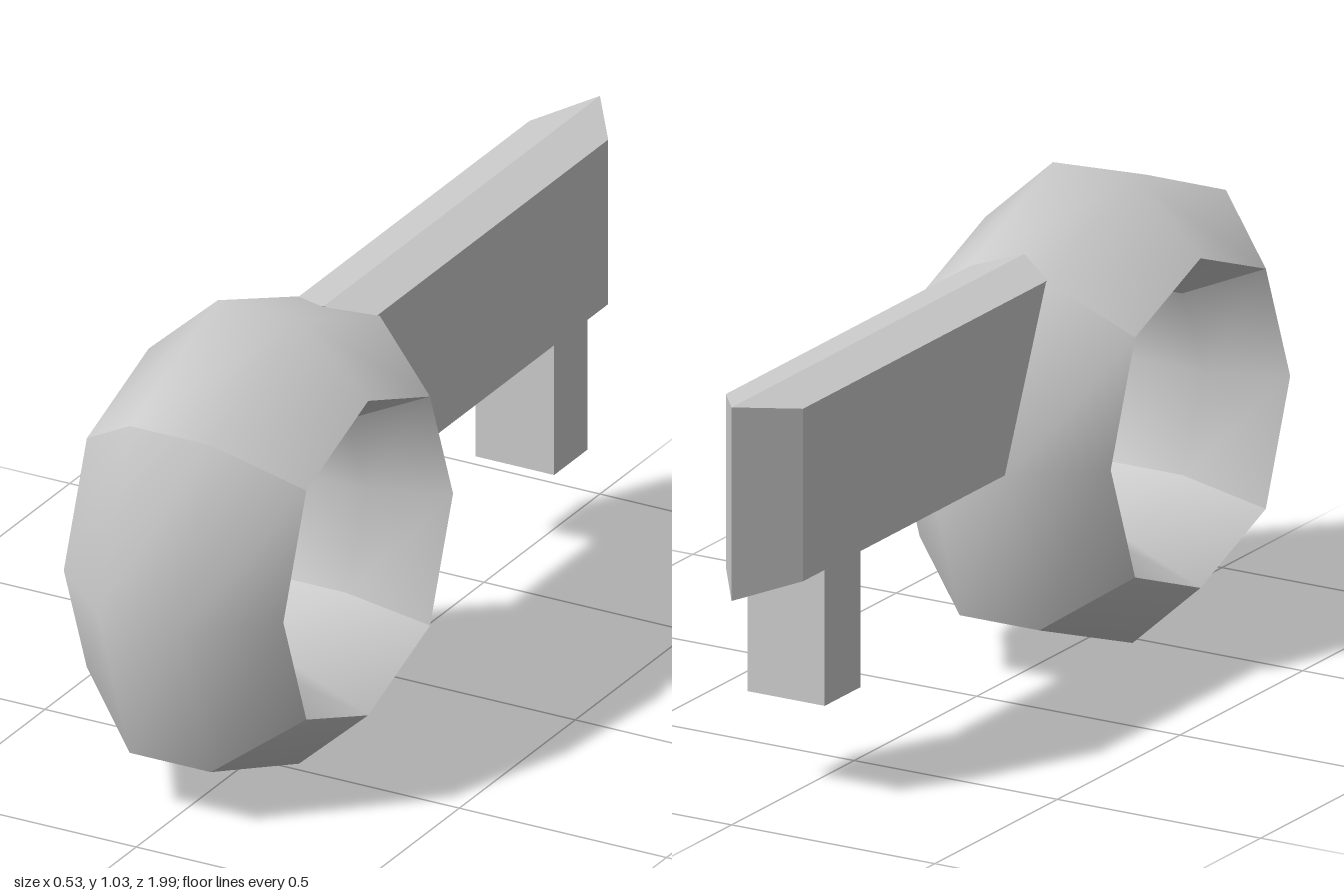
import * as THREE from 'three';

const material = new THREE.MeshStandardMaterial({ color: 0xcccccc });

// Skin a list of rows (each a list of [x, y, z]) with quads
function loft(rows, { closed = false, flat = false, caps = false } = {}) {
  const n = rows[0].length;
  const index = [];
  const last = closed ? n : n - 1;
  for (let i = 0; i < rows.length - 1; i++) {
    for (let k = 0; k < last; k++) {
      const k2 = (k + 1) % n;
      const a = i * n + k, b = a + n, c = i * n + k2, d = c + n;
      index.push(a, c, b, b, c, d);
    }
  }
  if (caps) {
    const e = (rows.length - 1) * n;
    for (let k = 1; k < n - 1; k++) index.push(e, e + k, e + k + 1, 0, k + 1, k);
  }
  let geometry = new THREE.BufferGeometry();
  geometry.setAttribute('position', new THREE.Float32BufferAttribute(rows.flat(2), 3));
  geometry.setIndex(index);
  if (flat) geometry = geometry.toNonIndexed();
  geometry.computeVertexNormals();
  return geometry;
}

function addMesh(parent, name, geometry) {
  const mesh = new THREE.Mesh(geometry, material);
  mesh.name = name;
  parent.add(mesh);
  return mesh;
}

// Eight-sided loop [z, y] starting at the top and turning towards the front
function octagon(axis, diagonal) {
  const points = [];
  for (let k = 0; k < 8; k++) {
    const angle = k * Math.PI / 4;
    const r = k % 2 ? diagonal : axis;
    points.push([0.473 + r * Math.sin(angle), 0.515 + r * Math.cos(angle)]);
  }
  return points;
}

export function createModel() {
  const group = new THREE.Group();

  // Bow: thick octagonal ring, creased at its four diagonal corners
  const bow = new THREE.Group();
  bow.name = 'bow';
  group.add(bow);
  const outer = octagon(0.517, 0.538);
  const rim = octagon(0.366, 0.377);
  const inner = octagon(0.295, 0.285);
  outer[7] = [0.125, 0.898];
  const W = 0.265, F = 0.098;
  const skins = {
    bowOutside: [[-W, rim], [-F, outer], [F, outer], [W, rim]],
    bowInside: [[W, rim], [F, inner], [-F, inner], [-W, rim]],
  };
  for (const [name, profile] of Object.entries(skins)) {
    for (let q = 0; q < 4; q++) {
      const rows = profile.map(([x, loop]) => [0, 1, 2].map((j) => {
        const [z, y] = loop[(q * 2 + 7 + j) % 8];
        return [x, y, z];
      }));
      addMesh(bow, name, loft(rows));
    }
  }

  // Shaft: flat bar with shallow ridges above and below and a wedge tip
  const section = (x, top, bottom, back) => [
    [x, top, back], [x, top, 0.19], [x, bottom, 0.02], [x, bottom, back],
  ];
  const shaft = [
    section(-0.095, 0.9, 0.517, -0.866),
    section(0, 0.925, 0.495, -1),
    section(0.095, 0.9, 0.517, -0.866),
  ];
  addMesh(group, 'shaft', loft(shaft, { closed: true, flat: true, caps: true }));

  // Bit: single tooth under the shaft
  const bit = addMesh(group, 'bit', new THREE.BoxGeometry(0.19, 0.325, 0.145));
  bit.position.set(0, 0.3775, -0.705);

  return group;
}
